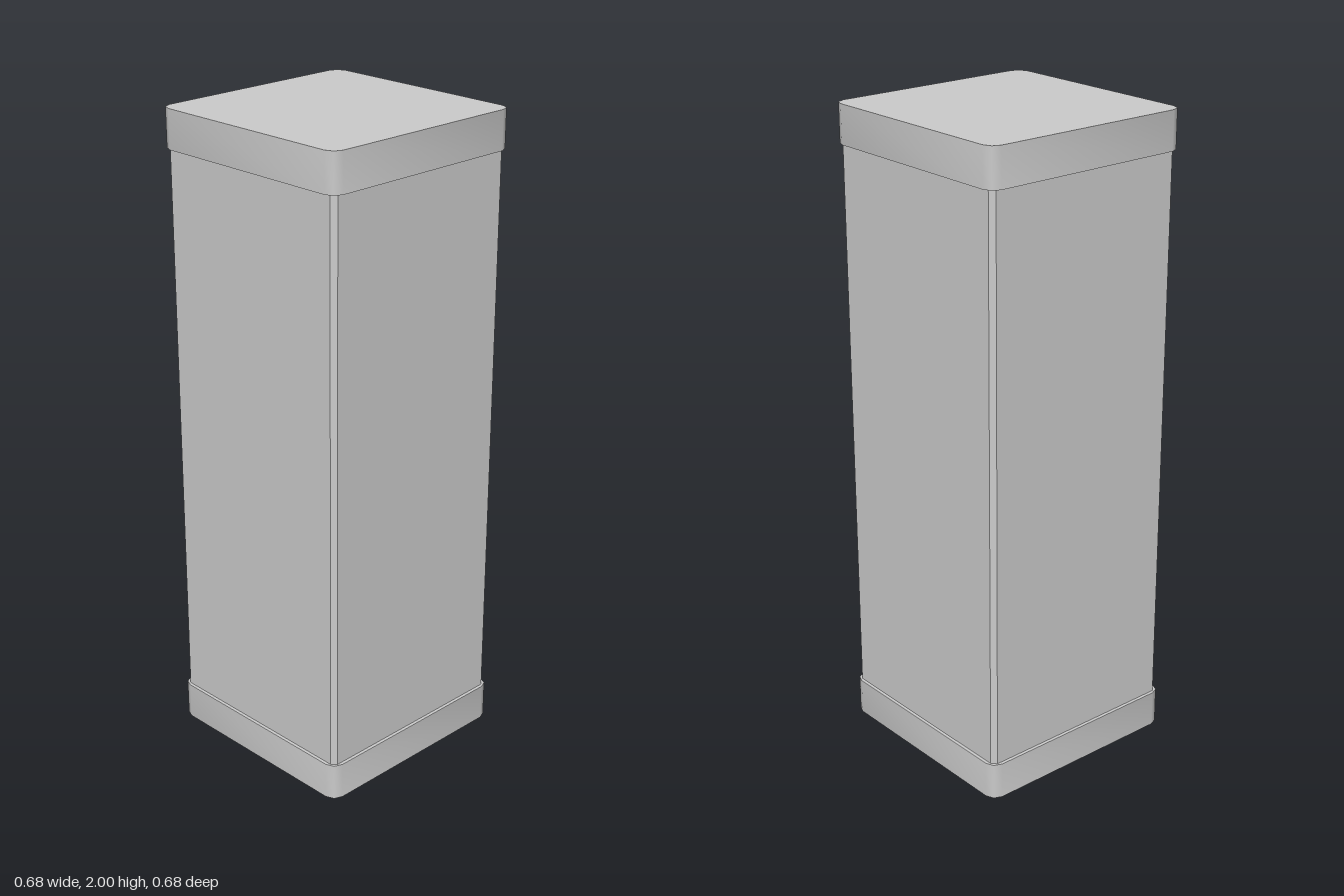
import * as THREE from 'three';
import { toCreasedNormals } from 'three/addons/utils/BufferGeometryUtils.js';

const material = new THREE.MeshStandardMaterial({ color: 0xcccccc });
const openMaterial = new THREE.MeshStandardMaterial({ color: 0xcccccc, side: THREE.DoubleSide });

// Square prism whose corners are cut back by `cut` in `steps` facets
function prism(name, half, cut, steps, y0, y1) {
  const points = [];
  const c = half - cut;
  for (let corner = 0; corner < 4; corner++) {
    const start = corner * Math.PI / 2;
    const cx = c * Math.SQRT2 * Math.cos(start + Math.PI / 4);
    const cz = c * Math.SQRT2 * Math.sin(start + Math.PI / 4);
    for (let i = 0; i <= steps; i++) {
      const a = start + (i / steps) * Math.PI / 2;
      points.push(new THREE.Vector2(cx + cut * Math.cos(a), cz + cut * Math.sin(a)));
    }
  }
  let geometry = new THREE.ExtrudeGeometry(new THREE.Shape(points), { depth: y1 - y0, bevelEnabled: false });
  geometry.rotateX(-Math.PI / 2).translate(0, y0, 0);
  // Rounded corners shade smoothly, single chamfers stay crisp
  if (steps > 1) geometry = toCreasedNormals(geometry, 0.9);
  const mesh = new THREE.Mesh(geometry, material);
  mesh.name = name;
  return mesh;
}

export function createModel() {
  const model = new THREE.Group();
  model.name = 'squareLantern';

  // Tall body with narrow chamfered corners
  model.add(prism('body', 0.328, 0.014, 1, 0.18, 1.885));

  // Rounded caps, slightly wider than the body
  model.add(prism('bottomCap', 0.338, 0.034, 2, 0.068, 0.18));
  model.add(prism('topCap', 0.338, 0.034, 2, 1.885, 2));

  // Thin open square collar under the bottom cap
  const collarGeometry = new THREE.CylinderGeometry(0.237 * Math.SQRT2, 0.237 * Math.SQRT2, 0.068, 4, 1, true)
    .rotateY(Math.PI / 4).translate(0, 0.034, 0);
  const collar = new THREE.Mesh(toCreasedNormals(collarGeometry, 0.5), openMaterial);
  collar.name = 'baseCollar';
  model.add(collar);

  return model;
}
